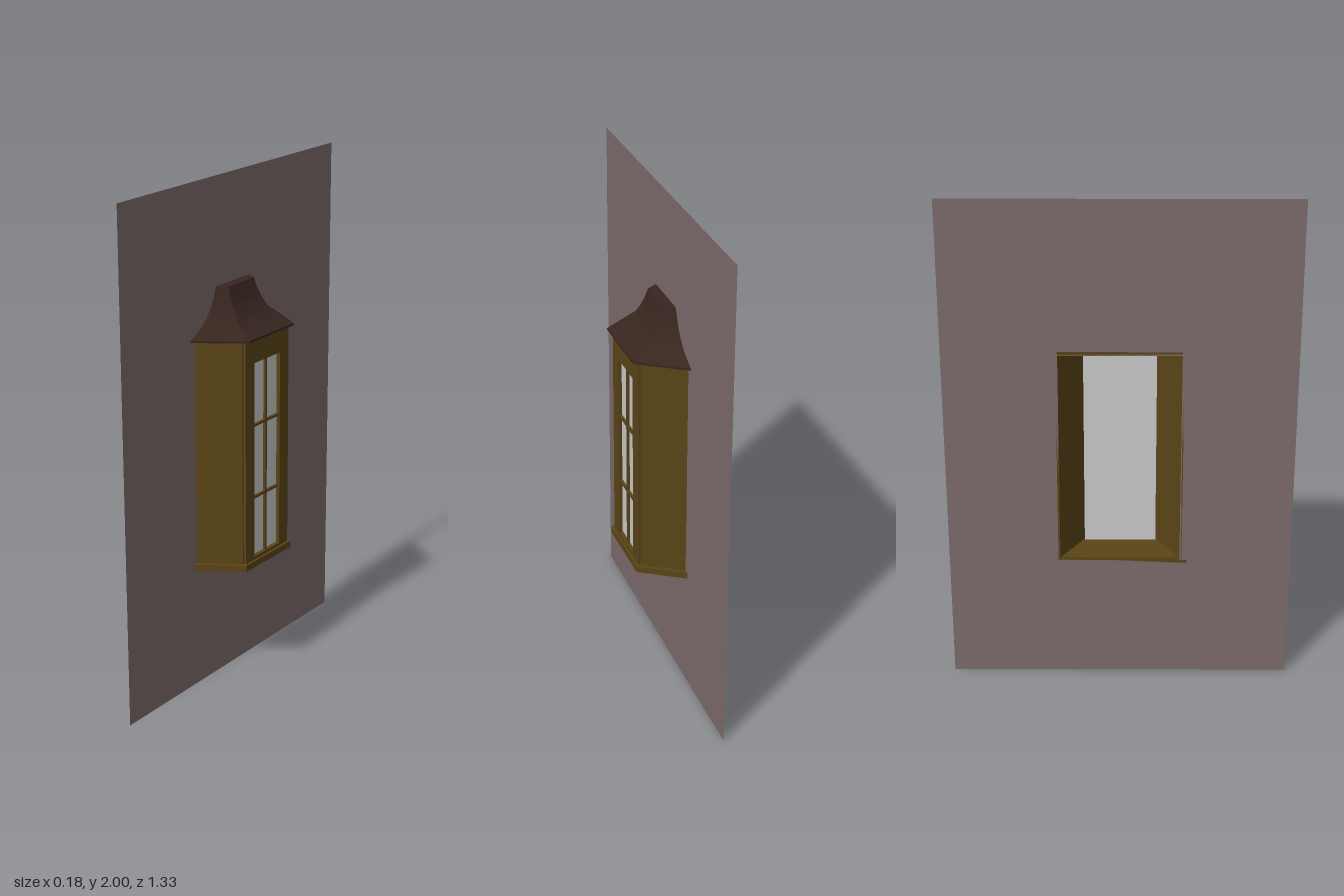
import * as THREE from 'three';

const mat = (color) => new THREE.MeshStandardMaterial({ color, side: THREE.DoubleSide });
const BACK = -0.09; // plane of the house wall

export function createModel() {
  const group = new THREE.Group();
  const wallMat = mat(0x7e6c6c), woodMat = mat(0x5b4517), roofMat = mat(0x37251f), glassMat = mat(0xcccccc);
  roofMat.flatShading = true;

  const add = (name, geometry, material) => {
    const mesh = new THREE.Mesh(geometry, material);
    mesh.name = name;
    group.add(mesh);
    return mesh;
  };
  const polygon = (pts) => new THREE.Shape(pts.map(([a, b]) => new THREE.Vector2(a, b)));
  const rect = (w, y0, y1) => [[-w, y0], [w, y0], [w, y1], [-w, y1]];

  // Upright prism from a plan outline of [x, z] points
  const prism = (pts, y0, y1) => {
    const g = new THREE.ExtrudeGeometry(polygon(pts.map(([x, z]) => [x, -z])), { depth: y1 - y0, bevelEnabled: false });
    return g.rotateX(-Math.PI / 2).translate(0, y0, 0);
  };
  const bayPlan = (front, zBack, zFront) => [[BACK, zBack], [front, zFront], [front, -zFront], [BACK, -zBack]];

  // House wall with the opening into the bay
  const wall = polygon(rect(0.665, 0, 2));
  wall.holes.push(polygon(rect(0.232, 0.525, 1.39)));
  add('houseWall', new THREE.ShapeGeometry(wall).rotateY(Math.PI / 2).translate(BACK, 0, 0), wallMat);

  // Angled side walls
  for (const s of [1, -1]) {
    const plan = [[BACK, 0.24], [0.06, 0.146], [0.06, 0.138], [BACK, 0.232]].map(([x, z]) => [x, s * z]);
    add(s > 0 ? 'leftSideWall' : 'rightSideWall', prism(plan, 0.51, 1.41), woodMat);
  }

  // Front frame with the window opening
  const frame = polygon(rect(0.14, 0.51, 1.41));
  frame.holes.push(polygon(rect(0.083, 0.525, 1.31)));
  const frameGeo = new THREE.ExtrudeGeometry(frame, { depth: 0.015, bevelEnabled: false });
  add('windowFrame', frameGeo.rotateY(Math.PI / 2).translate(0.055, 0, 0), woodMat);

  // Glass and glazing bars
  add('glass', new THREE.BoxGeometry(0.005, 0.87, 0.28).translate(0.051, 0.96, 0), glassMat);
  add('verticalBar', new THREE.BoxGeometry(0.01, 0.785, 0.01).translate(0.06, 0.9175, 0), woodMat);
  for (const y of [0.768, 1.06])
    add('horizontalBar', new THREE.BoxGeometry(0.01, 0.01, 0.166).translate(0.06, y, 0), woodMat);

  // Sill, floor and ceiling
  add('sill', prism(bayPlan(0.08, 0.26, 0.15), 0.487, 0.513), woodMat);
  add('floor', prism(bayPlan(0.055, 0.233, 0.14), 0.513, 0.525), woodMat);
  add('ceiling', prism(bayPlan(0.055, 0.233, 0.14), 1.39, 1.405), woodMat);

  // Flared roof: trapezoid rings [height, inward progress], eave to flat top
  const rings = [[1.405, 0], [1.413, 0], [1.427, 0.2], [1.447, 0.42], [1.465, 0.56],
    [1.485, 0.68], [1.515, 0.81], [1.55, 0.92], [1.585, 1]];
  const positions = [], index = [];
  for (const [y, t] of rings) {
    const plan = bayPlan(THREE.MathUtils.lerp(0.09, -0.05, t),
      THREE.MathUtils.lerp(0.265, 0.105, t), THREE.MathUtils.lerp(0.145, 0.08, t));
    for (const [x, z] of plan) positions.push(x, y, z);
  }
  for (let r = 0; r < rings.length - 1; r++)
    for (let i = 0; i < 4; i++) {
      const a = r * 4 + i, b = r * 4 + (i + 1) % 4;
      if (i < 3) index.push(a, b, b + 4, a, b + 4, a + 4);
    }
  const top = (rings.length - 1) * 4;
  index.push(top, top + 1, top + 2, top, top + 2, top + 3, 0, 2, 1, 0, 3, 2);
  const indexed = new THREE.BufferGeometry();
  indexed.setAttribute('position', new THREE.Float32BufferAttribute(positions, 3));
  indexed.setIndex(index);
  const roof = indexed.toNonIndexed();
  roof.computeVertexNormals();
  add('roof', roof, roofMat);

  return group;
}
